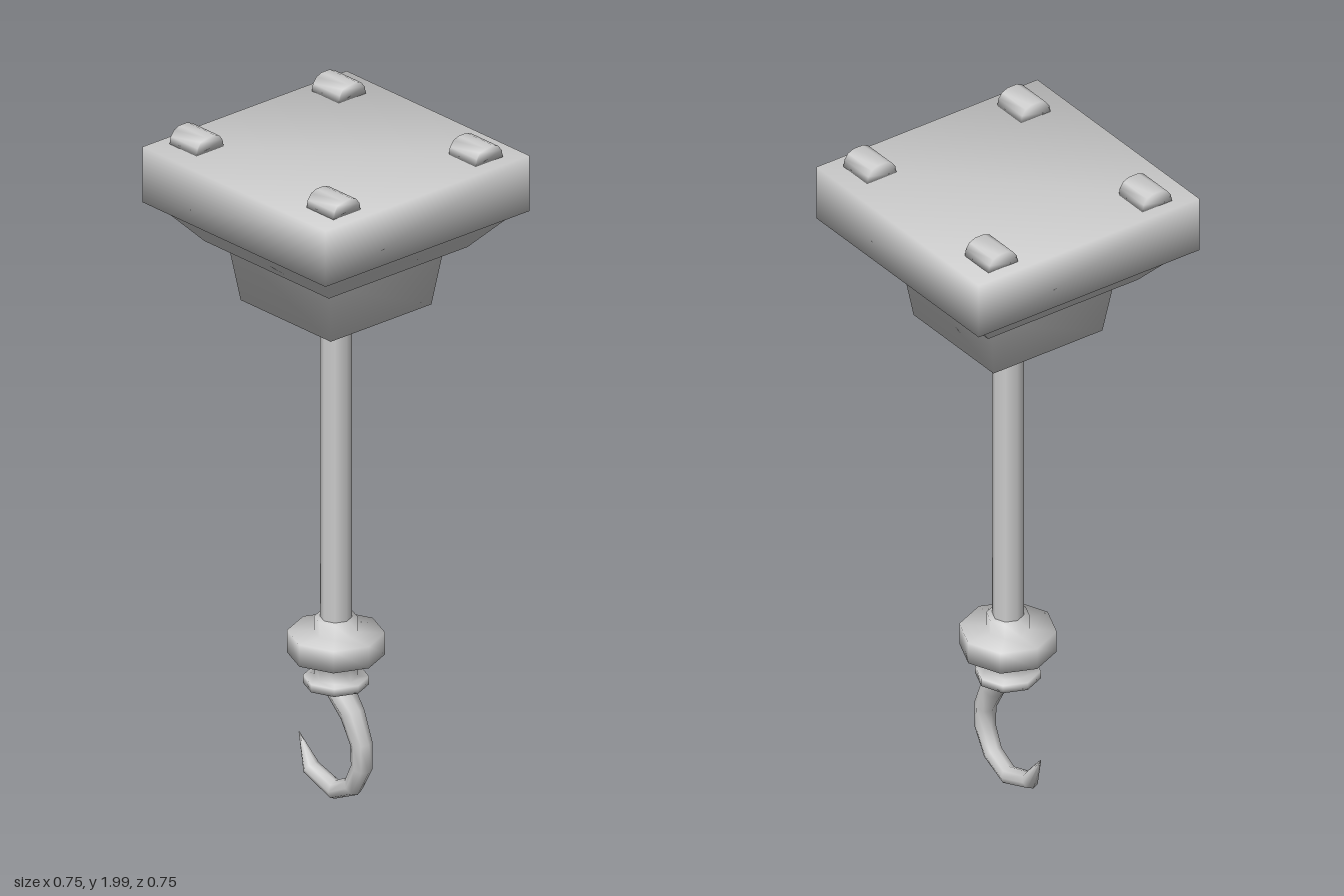
import * as THREE from 'three';
import { mergeVertices } from 'three/addons/utils/BufferGeometryUtils.js';

const material = new THREE.MeshStandardMaterial({ color: 0xcccccc });

// Weld corners so shading runs smoothly around the form
function smooth(geometry) {
  geometry.deleteAttribute('normal');
  geometry.deleteAttribute('uv');
  const welded = mergeVertices(geometry, 1e-4);
  welded.computeVertexNormals();
  return welded;
}

function addMesh(parent, name, geometry) {
  const mesh = new THREE.Mesh(geometry, material);
  mesh.name = name;
  parent.add(mesh);
  return mesh;
}

// Revolved profile, listed from bottom to top
function turned(points, sides, start = 0) {
  const profile = points.map(([r, y]) => new THREE.Vector2(r, y));
  return smooth(new THREE.LatheGeometry(profile, sides, start));
}

// Round bar along a flat path of [x, y, radius] stations
function taperedBar(stations, sides = 8) {
  const positions = [], index = [];
  stations.forEach(([x, y, r], i) => {
    const a = stations[Math.max(i - 1, 0)];
    const b = stations[Math.min(i + 1, stations.length - 1)];
    const t = new THREE.Vector2(b[0] - a[0], b[1] - a[1]).normalize();
    if (i === 0) t.set(0, -1); // level cut where the bar meets the collar
    for (let j = 0; j < sides; j++) {
      const angle = (j / sides) * Math.PI * 2;
      const c = Math.cos(angle) * r;
      positions.push(x - t.y * c, y + t.x * c, Math.sin(angle) * r);
      if (i > 0) {
        const k = (j + 1) % sides;
        const p = (i - 1) * sides, q = i * sides;
        index.push(p + j, p + k, q + j, p + k, q + k, q + j);
      }
    }
  });
  const geometry = new THREE.BufferGeometry();
  geometry.setAttribute('position', new THREE.Float32BufferAttribute(positions, 3));
  geometry.setIndex(index);
  geometry.computeVertexNormals();
  return geometry;
}

export function createModel() {
  const model = new THREE.Group();
  model.name = 'ceilingHook';

  // Square mounting plate
  const plate = addMesh(model, 'mountingPlate', smooth(new THREE.BoxGeometry(0.75, 0.167, 0.75)));
  plate.position.y = 1.871;

  // Stepped square housing beneath the plate
  const d = Math.SQRT2;
  addMesh(model, 'steppedHousing', turned([
    [0, 1.5], [0.185 * d, 1.5], [0.21 * d, 1.675], [0.255 * d, 1.675], [0.355 * d, 1.79],
  ], 4, Math.PI / 4));

  // Four round-topped bolt heads
  const arch = new THREE.Shape([
    [-0.05, 0], [0.05, 0], [0.046, 0.022], [0.034, 0.038], [0.015, 0.046],
    [-0.015, 0.046], [-0.034, 0.038], [-0.046, 0.022],
  ].map(([x, y]) => new THREE.Vector2(x, y)));
  const bolt = new THREE.ExtrudeGeometry(arch, { depth: 0.11, bevelEnabled: false });
  bolt.translate(0, 0, -0.055).rotateY(Math.PI / 2);
  const boltGeometry = smooth(bolt);
  for (const x of [-0.284, 0.278]) {
    for (const z of [-0.265, 0.258]) {
      addMesh(model, 'boltHead', boltGeometry).position.set(x, 1.954, z);
    }
  }

  // Hanging rod
  const rod = addMesh(model, 'rod', new THREE.CylinderGeometry(0.044, 0.044, 1.0, 8, 1, true));
  rod.position.y = 1.02;

  // Swivel fitting with a wide flange and a lower collar
  addMesh(model, 'swivelCollar', turned([
    [0, 0.353], [0.091, 0.353], [0.091, 0.376], [0.06, 0.376], [0.06, 0.444],
    [0.135, 0.444], [0.135, 0.509], [0.06, 0.509], [0.06, 0.554], [0, 0.554],
  ], 8));

  // Hook, narrowing to a sharp tip
  addMesh(model, 'hook', taperedBar([
    [-0.002, 0.36, 0.046], [0.068, 0.283, 0.035], [0.105, 0.205, 0.031],
    [0.105, 0.135, 0.03], [0.07, 0.068, 0.028], [-0.003, 0.032, 0.027],
    [-0.102, 0.066, 0.025], [-0.152, 0.157, 0.001],
  ]));

  return model;
}
